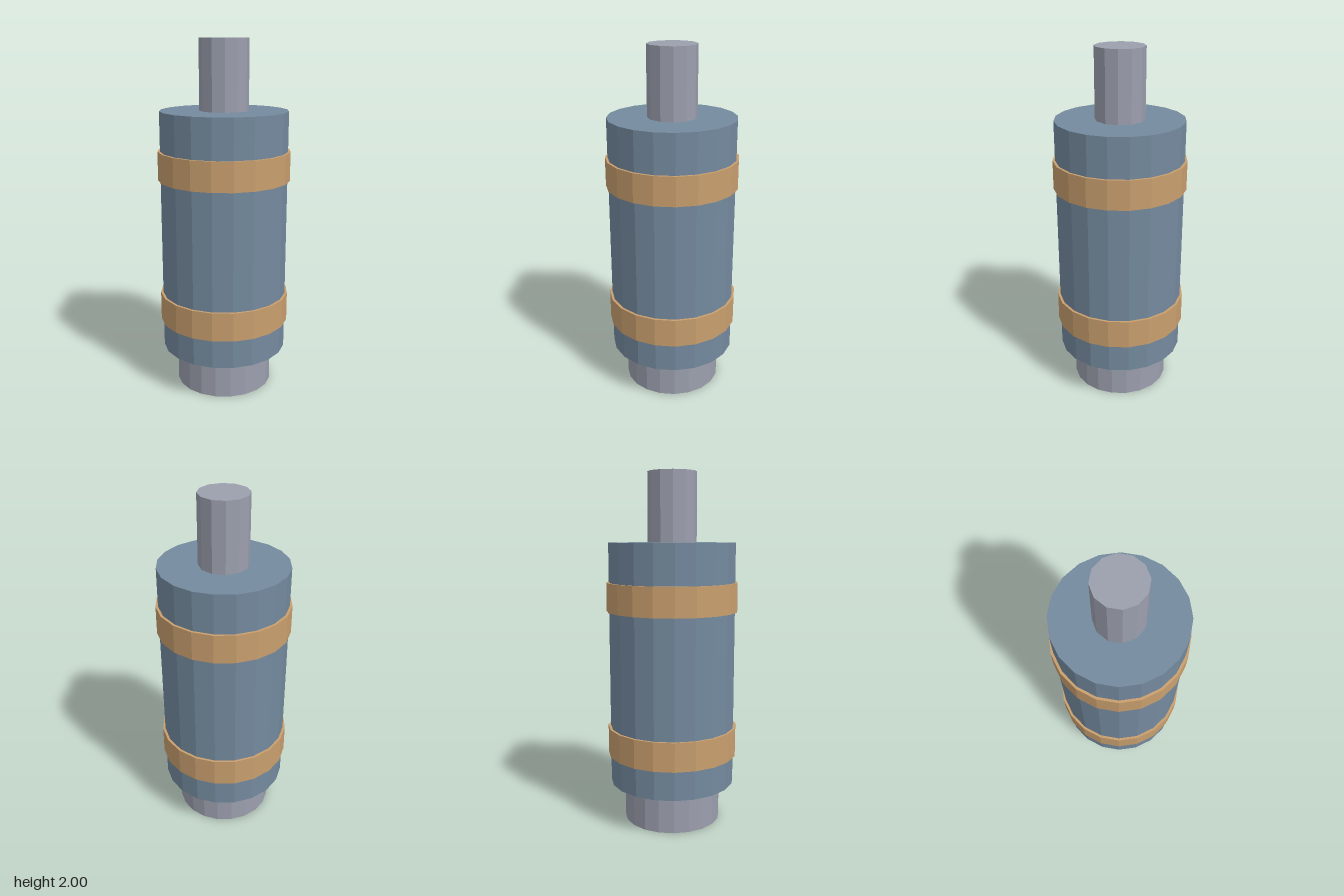
import * as THREE from 'three';

export function createModel() {
  const model = new THREE.Group();
  model.name = 'cylinderAssembly';

  const material = (name, color) => {
    const m = new THREE.MeshStandardMaterial({ color, flatShading: true });
    m.name = name;
    return m;
  };
  const steel = material('steelGrey', 0x9ca0ae);
  const blue = material('slateBlue', 0x748a9e);
  const brass = material('warmBrass', 0xc99f6e);

  // Upright faceted cylinder from y0 to y1
  const addCylinder = (name, radius, y0, y1, sides, mat) => {
    const mesh = new THREE.Mesh(new THREE.CylinderGeometry(radius, radius, y1 - y0, sides), mat);
    mesh.position.y = (y0 + y1) / 2;
    mesh.name = name;
    model.add(mesh);
  };

  addCylinder('base', 0.278, 0, 0.225, 20, steel);
  addCylinder('body', 0.36, 0.225, 1.612, 20, blue);
  addCylinder('rod', 0.138, 1.612, 2, 12, steel);

  // Raised bands around the body
  addCylinder('lowerBand', 0.374, 0.392, 0.557, 20, brass);
  addCylinder('upperBand', 0.374, 1.226, 1.39, 20, brass);

  return model;
}
